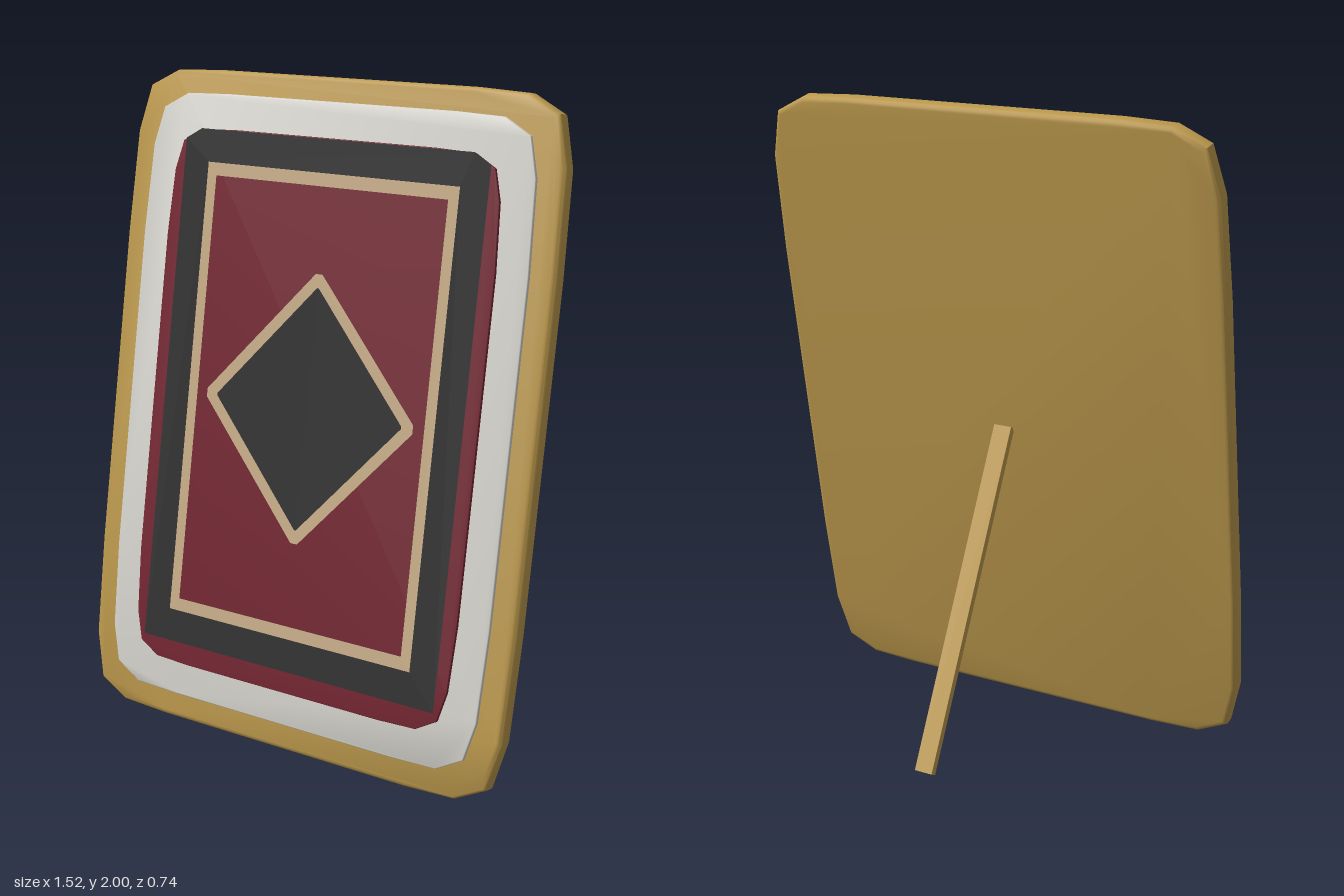
import * as THREE from 'three';
import { toCreasedNormals } from 'three/addons/utils/BufferGeometryUtils.js';

const material = (name, color) => {
  const m = new THREE.MeshStandardMaterial({ color });
  m.name = name;
  return m;
};

// Closed shape from [x, y] points, with optional holes
function polygon(points, ...holes) {
  const toVec = (list) => list.map(([x, y]) => new THREE.Vector2(x, y));
  const shape = new THREE.Shape(toVec(points));
  for (const hole of holes) shape.holes.push(new THREE.Path(toVec(hole)));
  return shape;
}

// Mirrors one upper-right corner (listed from side to top) into a full outline
function mirrored(corner, cy = 0) {
  const back = [...corner].reverse();
  return [
    ...corner.map(([x, y]) => [x, cy + y]),
    ...back.map(([x, y]) => [-x, cy + y]),
    ...corner.map(([x, y]) => [-x, cy - y]),
    ...back.map(([x, y]) => [x, cy - y]),
  ];
}

const rect = (w, h, cy) => [[w, cy - h], [w, cy + h], [-w, cy + h], [-w, cy - h]];

// Diamond with slightly blunt points
function diamond(w, h, cy, blunt) {
  const k = blunt * h / w;
  return [[w - blunt, cy - k], [w - blunt, cy + k], [blunt, cy + h - k], [-blunt, cy + h - k],
    [-w + blunt, cy + k], [-w + blunt, cy - k], [-blunt, cy - h + k], [blunt, cy - h + k]];
}

export function createModel() {
  const gold = material('gold', 0xbb984c);
  const cream = material('cream', 0xd5d3cd);
  const red = material('dark red', 0x742632);
  const black = material('charcoal', 0x303030);
  const tan = material('tan', 0xc7ad88);

  const model = new THREE.Group();
  const frame = new THREE.Group();
  frame.name = 'tiltedFrame';
  frame.position.set(0, 1, 0.165);
  frame.rotation.x = -10 * Math.PI / 180;
  model.add(frame);

  // Slab with rounded edges between two depths
  function slab(name, mat, outline, z0, z1, bevel) {
    const geometry = new THREE.ExtrudeGeometry(polygon(outline), {
      depth: z1 - z0 - 2 * bevel, bevelThickness: bevel, bevelSize: bevel,
      bevelOffset: -bevel, bevelSegments: 3,
    });
    geometry.translate(0, 0, z0 + bevel);
    const mesh = new THREE.Mesh(toCreasedNormals(geometry, 0.8), mat);
    mesh.name = name;
    frame.add(mesh);
  }

  // Board, mat and picture panel
  slab('backBoard', gold, mirrored([[0.76, 0.5], [0.752, 0.81], [0.716, 0.955], [0.615, 1.006], [0.45, 1.013]]), -0.03, 0.03, 0.016);
  slab('matBoard', cream, mirrored([[0.682, 0.5], [0.672, 0.77], [0.642, 0.885], [0.555, 0.932], [0.4, 0.937]], 0.004), 0.028, 0.041, 0.004);
  slab('picturePanel', red, mirrored([[0.582, 0.5], [0.572, 0.7], [0.548, 0.79], [0.48, 0.828], [0.35, 0.833]], 0.002), 0.04, 0.05, 0.002);

  // Painted bands and diamond on the panel
  function painted(name, mat, shape) {
    const mesh = new THREE.Mesh(new THREE.ShapeGeometry(shape), mat);
    mesh.name = name;
    mesh.position.z = 0.052;
    frame.add(mesh);
  }
  const borderOuter = rect(0.444, 0.699, 0.034);
  const borderInner = rect(0.41, 0.66, 0.034);
  const diamondOuter = diamond(0.384, 0.418, 0.033, 0.012);
  const diamondInner = diamond(0.336, 0.367, 0.033, 0.003);
  const bandOuter = [[0.536, -0.765], [0.536, 0.8], [0.48, 0.832],
    [-0.48, 0.832], [-0.536, 0.8], [-0.536, -0.765]];
  painted('darkBand', black, polygon(bandOuter, borderOuter));
  painted('tanBorder', tan, polygon(borderOuter, borderInner));
  painted('diamondBorder', tan, polygon(diamondOuter, diamondInner));
  painted('diamond', black, polygon(diamondInner));

  // Rear prop leg, running from the board back down to the ground
  const top = new THREE.Vector3(0, 0.985, 0.135);
  const foot = new THREE.Vector3(0, 0.006, -0.358);
  const along = top.clone().sub(foot);
  const leg = new THREE.Mesh(new THREE.BoxGeometry(0.06, along.length(), 0.024), gold);
  leg.name = 'propLeg';
  leg.position.copy(top).add(foot).multiplyScalar(0.5);
  leg.rotation.x = Math.atan2(along.z, along.y);
  model.add(leg);

  return model;
}
